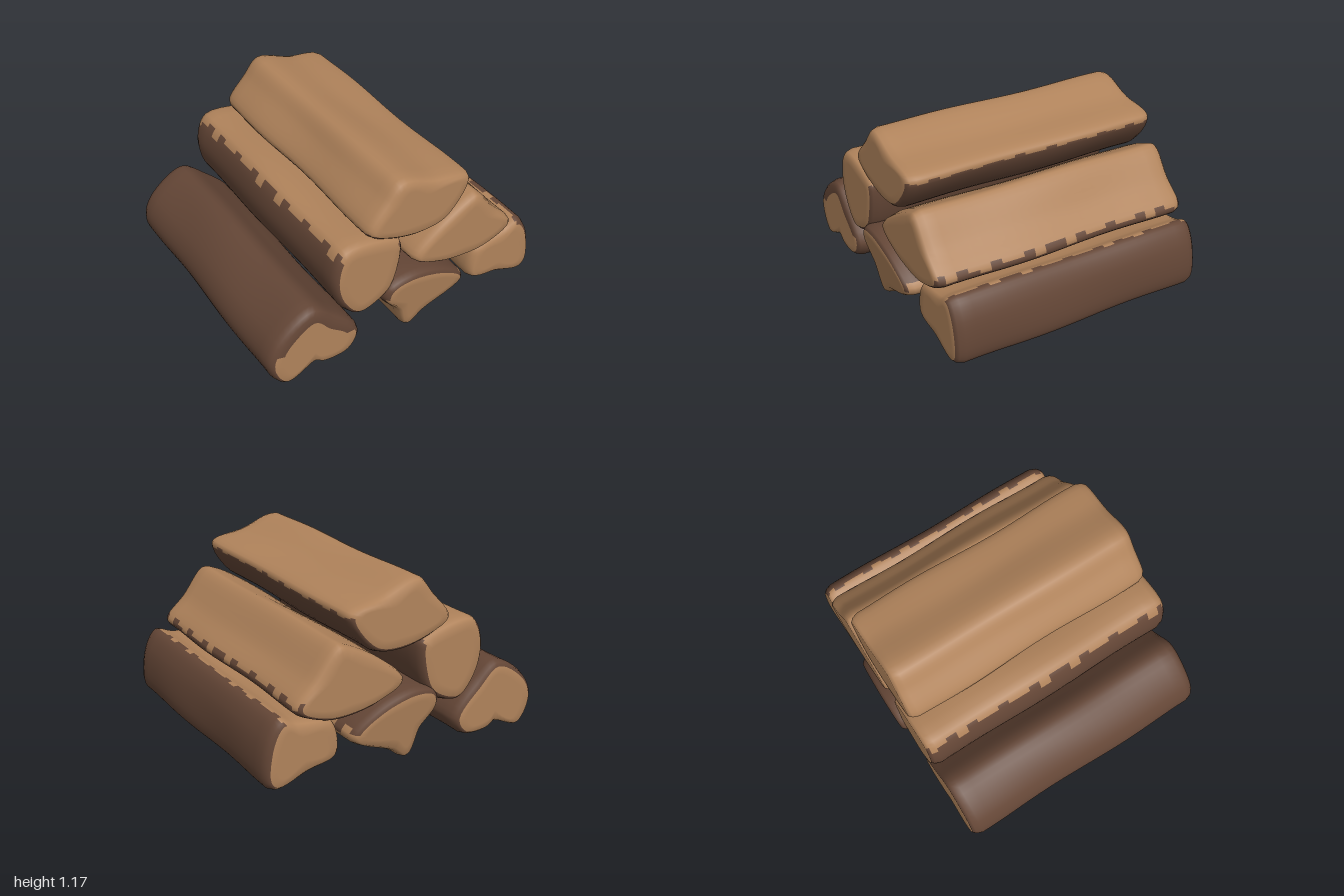
import * as THREE from 'three';

const wood = new THREE.MeshStandardMaterial({ color: 0xb0835b });
wood.name = 'splitWood';
const bark = new THREE.MeshStandardMaterial({ color: 0x644636 });
bark.name = 'bark';

const SUB = 6;    // samples per outline step
const BODY = 22;  // steps along the straight part

// Rings of a log: how far each lies from the end and how far the outline is drawn in
function ringList() {
  const end = [[0, Infinity], [0, 0.09], [0, 0.035], [0.02, 0.014], [0.06, 0]]
    .map(([depth, inset]) => ({ depth, inset }));
  const rings = end.map((e) => ({ ...e, side: 1 }));
  for (let i = 1; i < BODY; i++) rings.push({ along: 1 - (2 * i) / BODY, inset: 0 });
  return rings.concat(end.reverse().map((e) => ({ ...e, side: -1 })));
}

// A split log from its outline (counter-clockwise from the front).
// barkSpan and rimSpan are ranges of outline steps; tilt lengthens the log with height.
function makeLog(name, { half, tilt = 0, barkSpan, rimSpan, seed }, outline) {
  const n = outline.length;
  const count = n * SUB;
  const curve = new THREE.CatmullRomCurve3(outline.map(([x, y]) => new THREE.Vector3(x, y, 0)), true);
  const section = Array.from({ length: count }, (_, j) => curve.getPoint(j / count));
  const centre = section.reduce((s, p) => s.add(p), new THREE.Vector3()).divideScalar(count);
  const rings = ringList();
  const position = [];

  for (const r of rings) {
    for (const p of section) {
      const dx = p.x - centre.x, dy = p.y - centre.y;
      const inset = Math.max(0, 1 - r.inset / Math.hypot(dx, dy));
      const length = half + tilt * dy * inset;
      const z = r.side ? r.side * (length - r.depth) : r.along * (length - 0.06);
      // gentle waviness of the sides, fading out toward the ends
      const fade = 1 - Math.min(1, Math.abs(z) / half) ** 4;
      const wave = 1 + 0.025 * fade * Math.sin(z * 5 + seed * 1.7 + 2 * Math.sin(Math.atan2(dy, dx) + seed));
      position.push(centre.x + dx * inset * wave, Math.max(0, centre.y + dy * inset * wave), z);
    }
  }

  const inside = (u, [from, to]) => (u >= from && u < to) || (u + n >= from && u + n < to);
  const woodFaces = [], barkFaces = [];
  const last = rings.length - 2;
  for (let i = 0; i <= last; i++) {
    for (let j = 0; j < count; j++) {
      const next = (j + 1) % count;
      const a = i * count + j, b = i * count + next;
      const c = a + count, d = b + count;
      const u = (j + 0.5) / SUB + 0.15 * Math.sin(i * 2.3 + seed);  // ragged bark edge
      const cap = i < 2 || i > last - 2;
      const isBark = cap ? i === 1 && rimSpan && inside(u, rimSpan) : inside(u, barkSpan);
      const list = isBark ? barkFaces : woodFaces;
      if (i < last) list.push(b, c, d);
      if (i > 0) list.push(a, c, b);
    }
  }

  const geometry = new THREE.BufferGeometry();
  geometry.setAttribute('position', new THREE.Float32BufferAttribute(position, 3));
  geometry.setIndex(woodFaces.concat(barkFaces));
  geometry.addGroup(0, woodFaces.length, 0);
  geometry.addGroup(woodFaces.length, barkFaces.length, 1);
  geometry.computeVertexNormals();
  const mesh = new THREE.Mesh(geometry, [wood, bark]);
  mesh.name = name;
  return mesh;
}

export function createModel() {
  const group = new THREE.Group();
  group.name = 'firewoodPile';

  // bottom row
  group.add(makeLog('lowerRightLog', { half: 0.875, barkSpan: [2.3, 8.7], rimSpan: [4.2, 7.4], seed: 1 }, [
    [-0.9, 0.008], [-0.69, 0.07], [-0.6, 0.035], [-0.42, 0.06], [-0.355, 0.18],
    [-0.53, 0.39], [-0.69, 0.5], [-0.93, 0.35], [-0.995, 0.18]]));
  group.add(makeLog('lowerCentreLog', { half: 0.9, tilt: 0.13, barkSpan: [2.2, 6.2], seed: 3 }, [
    [0, 0.015], [0.12, 0.09], [0.42, 0.26], [0.24, 0.42],
    [0, 0.49], [-0.17, 0.45], [-0.2, 0.36], [-0.09, 0.2]]));
  group.add(makeLog('lowerLeftLog', { half: 0.865, barkSpan: [2.2, 5.2], seed: 4 }, [
    [0.5, 0.18], [0.7, 0.12], [0.93, 0.065], [0.985, 0.12], [0.965, 0.37],
    [0.88, 0.495], [0.78, 0.465], [0.54, 0.41], [0.5, 0.35]]));

  // middle row
  group.add(makeLog('middleRightLog', { half: 0.885, barkSpan: [4.3, 10.8], seed: 2 }, [
    [-0.32, 0.32], [-0.13, 0.43], [-0.065, 0.73], [-0.09, 0.78],
    [-0.47, 0.845], [-0.55, 0.68], [-0.52, 0.48], [-0.4, 0.33]]));
  group.add(makeLog('middleLeftLog', { half: 0.88, barkSpan: [0.2, 4.2], seed: 5 }, [
    [0.035, 0.55], [0.2, 0.45], [0.4, 0.405], [0.6, 0.42], [0.79, 0.53],
    [0.66, 0.68], [0.5, 0.865], [0.43, 0.85], [0.18, 0.7]]));

  // top
  group.add(makeLog('topLog', { half: 0.87, tilt: -0.03, barkSpan: [0.1, 4.3], seed: 6 }, [
    [-0.3, 0.88], [-0.18, 0.8], [0.06, 0.74], [0.27, 0.78], [0.43, 0.99],
    [0.42, 1.04], [0.2, 1.09], [-0.07, 1.165], [-0.18, 1.05]]));

  return group;
}
